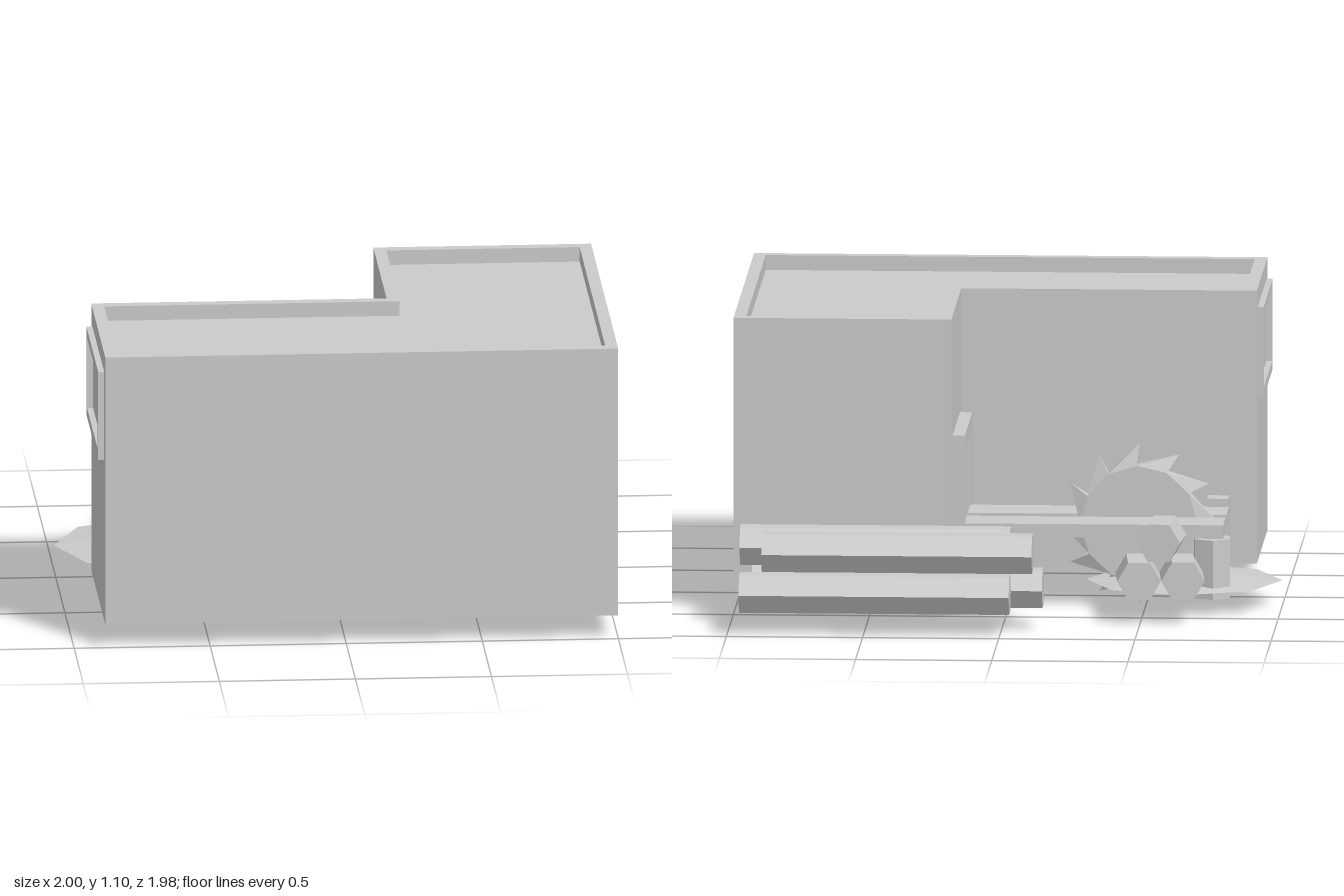
import * as THREE from 'three';

const mat = new THREE.MeshStandardMaterial({ color: 0xcccccc, flatShading: true });
const shellMat = new THREE.MeshStandardMaterial({
  color: 0xcccccc, flatShading: true, side: THREE.DoubleSide,
});
const GROUND = 0.087, ROOF = 1.045, TOP = 1.1;

export function createModel() {
  const model = new THREE.Group();
  model.name = 'sawmill';

  const add = (name, geo, x = 0, y = 0, z = 0, parent = model, material = mat) => {
    const mesh = new THREE.Mesh(geo, material);
    mesh.name = name;
    mesh.position.set(x, y, z);
    parent.add(mesh);
    return mesh;
  };
  const box = (name, x0, x1, y0, y1, z0, z1) =>
    add(name, new THREE.BoxGeometry(x1 - x0, y1 - y0, z1 - z0),
      (x0 + x1) / 2, (y0 + y1) / 2, (z0 + z1) / 2);

  // L-shaped plan, counter-clockwise; a positive inset shrinks it
  const plan = (i) => [
    [-0.885 + i, 0.993 - i], [1 - i, 0.993 - i], [1 - i, -0.485 + i],
    [0.2 + i, -0.485 + i], [0.2 + i, 0.23 + i], [-0.885 + i, 0.23 + i],
  ].map(([x, z]) => new THREE.Vector2(x, -z));

  // Building: hollow walls without a floor, a flat roof and a raised parapet
  const building = new THREE.Group();
  building.name = 'building';
  model.add(building);
  const shell = (name, geo) => add(name, geo, 0, 0, 0, building, shellMat);
  shell('walls', wallGeometry(plan(0), GROUND, ROOF));
  shell('roof', new THREE.ShapeGeometry(new THREE.Shape(plan(0.045)))
    .rotateX(-Math.PI / 2).translate(0, ROOF, 0));
  const rim = new THREE.Shape(plan(0));
  rim.holes.push(new THREE.Path(plan(0.045)));
  shell('roofParapet', new THREE.ExtrudeGeometry(rim, { depth: TOP - ROOF, bevelEnabled: false })
    .rotateX(-Math.PI / 2).translate(0, ROOF, 0));

  // Rectangular frames standing out from the walls that face -x
  const frame = (name, wallX, depth, y0, y1, z0, z1, t) => {
    const w = (z1 - z0) / 2, h = (y1 - y0) / 2;
    const rect = (C, a, b) => new C([[-a, -b], [a, -b], [a, b], [-a, b]]
      .map(([x, y]) => new THREE.Vector2(x, y)));
    const shape = rect(THREE.Shape, w, h);
    shape.holes.push(rect(THREE.Path, w - t, h - t));
    const geo = new THREE.ExtrudeGeometry(shape, { depth, bevelEnabled: false });
    add(name, geo.rotateY(-Math.PI / 2), wallX, (y0 + y1) / 2, (z0 + z1) / 2);
  };
  frame('windowFrame', -0.885, 0.022, 0.695, 1.03, 0.293, 0.933, 0.035);
  frame('doorFrame', 0.2, 0.045, GROUND, 0.655, -0.4, 0.135, 0.06);

  // Low open mound of sawdust
  add('sawdustPile', new THREE.ConeGeometry(0.36, 0.045, 8, 1, true),
    -0.638, GROUND + 0.02, -0.137, model, shellMat);

  // Saw bench: two planks, a stump leg and a square post
  box('benchPlankBack', -0.79, 0.16, 0.27, 0.32, -0.34, -0.165);
  box('benchPlankFront', -0.79, 0.16, 0.27, 0.32, -0.1, 0.087);
  add('benchStump', new THREE.CylinderGeometry(0.075, 0.075, 0.22, 6), -0.748, 0.16, -0.313)
    .rotation.y = 0.1;
  box('benchPost', -0.788, -0.71, GROUND, 0.35, 0.082, 0.162);

  // Circular saw blade between the planks
  add('sawBlade', bladeGeometry(12, 0.215, 0.294, 0.0275), -0.472, 0.294, -0.13);

  // Long logs stacked behind the building: [centre x, y, z]
  const logs = new THREE.Group();
  logs.name = 'logStack';
  model.add(logs);
  for (const [x, y, z] of [
    [0.428, 0.15, -0.597], [0.346, 0.15, -0.752], [0.46, 0.15, -0.912],
    [0.468, 0.29, -0.68], [0.38, 0.29, -0.837],
  ]) {
    const geo = new THREE.CylinderGeometry(0.08, 0.08, 0.992, 6).rotateZ(Math.PI / 2);
    add('longLog', geo, x, y, z, logs);
  }

  // Short cut logs beside the bench: [x, y, z, turn]
  const cut = new THREE.Group();
  cut.name = 'cutLogs';
  model.add(cut);
  for (const [x, y, z, turn] of [
    [-0.65, 0.162, -0.545, 0.08], [-0.488, 0.158, -0.535, 0.08], [-0.573, 0.297, -0.515, -0.06],
  ]) {
    const geo = new THREE.CylinderGeometry(0.08, 0.08, 0.21, 6)
      .rotateY(Math.PI / 6).rotateX(Math.PI / 2);
    add('shortLog', geo, x, y, z, cut).rotation.y = turn;
  }

  return model;
}

const geometryFrom = (pos) => {
  const geo = new THREE.BufferGeometry();
  geo.setAttribute('position', new THREE.Float32BufferAttribute(pos, 3));
  geo.computeVertexNormals();
  return geo;
};

// Upright sheet following a closed counter-clockwise plan
function wallGeometry(points, y0, y1) {
  const pos = [];
  points.forEach((p, i) => {
    const q = points[(i + 1) % points.length];
    const a = [p.x, y0, -p.y], b = [q.x, y0, -q.y];
    const c = [q.x, y1, -q.y], d = [p.x, y1, -p.y];
    pos.push(...a, ...b, ...c, ...a, ...c, ...d);
  });
  return geometryFrom(pos);
}

// Flat disc whose teeth taper to points hooked counter-clockwise
function bladeGeometry(teeth, rIn, rOut, half) {
  const pos = [];
  const at = (r, a, z) => [r * Math.cos(a), r * Math.sin(a), z];
  const tri = (...pts) => pts.forEach((p) => pos.push(...p));
  const step = (Math.PI * 2) / teeth;
  for (let i = 0; i < teeth; i++) {
    const tipAngle = i * step;
    const a1 = tipAngle - 0.03, a0 = a1 - step;
    const f0 = at(rIn, a0, half), f1 = at(rIn, a1, half);
    const b0 = at(rIn, a0, -half), b1 = at(rIn, a1, -half);
    const tip = at(rOut, tipAngle, 0);
    tri([0, 0, half], f0, f1);
    tri([0, 0, -half], b1, b0);
    tri(f0, tip, f1);
    tri(b0, b1, tip);
    tri(f0, b0, tip);
    tri(f1, tip, b1);
  }
  return geometryFrom(pos);
}
